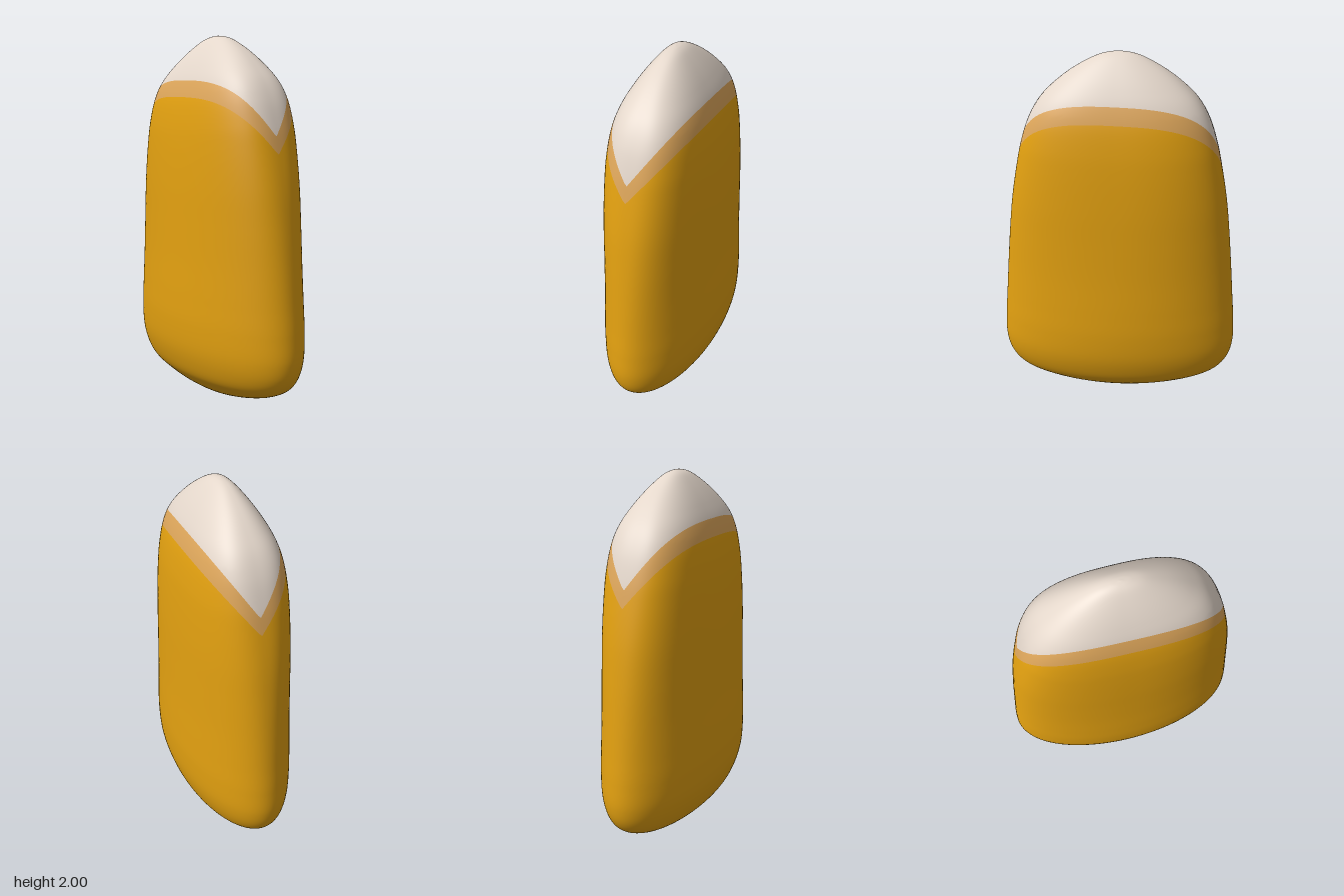
import * as THREE from 'three';

// Half-width in x, height, half-width in z, from base to tip
const profile = new THREE.CatmullRomCurve3([
  [0, 0, 0], [0.05, 0.007, 0.13], [0.13, 0.045, 0.33], [0.2, 0.1, 0.51], [0.25, 0.155, 0.605],
  [0.278, 0.22, 0.65], [0.3, 0.31, 0.671], [0.31, 0.45, 0.668], [0.307, 0.6, 0.655],
  [0.298, 0.8, 0.637], [0.291, 1, 0.617], [0.284, 1.2, 0.592], [0.272, 1.4, 0.555],
  [0.26, 1.52, 0.527], [0.237, 1.65, 0.482], [0.205, 1.75, 0.423], [0.165, 1.83, 0.345],
  [0.112, 1.91, 0.24], [0.055, 1.975, 0.12], [0.025, 1.994, 0.055], [0, 2, 0],
].map(p => new THREE.Vector3(...p)));

const AROUND = 120;

// Sections are ellipses at the base and grow squarer toward the shoulders
function squareness(y) {
  const rise = THREE.MathUtils.clamp((y - 0.4) / 1.3, 0, 1);
  const fall = THREE.MathUtils.smoothstep(y, 1.7, 2);
  return 2 + 0.8 * rise * rise - 0.5 * fall;
}

function surface(t, angle) {
  const p = profile.getPoint(THREE.MathUtils.clamp(t, 0, 1));
  const c = Math.cos(angle), s = Math.sin(angle), n = squareness(p.y);
  const r = Math.pow(Math.abs(c) ** n + Math.abs(s) ** n, -1 / n);
  return new THREE.Vector3(p.x * c * r, p.y, p.z * s * r);
}

function surfaceNormal(t, angle) {
  if (t < 1e-4) return new THREE.Vector3(0, -1, 0);
  if (t > 1 - 1e-4) return new THREE.Vector3(0, 1, 0);
  const e = 0.0008;
  const up = surface(t + e, angle).sub(surface(t - e, angle));
  const around = surface(t, angle + e).sub(surface(t, angle - e));
  return up.cross(around).normalize();
}

// Where the surface meets a V-shaped colour border: y = base + slope * |x|
function border(base, slope) {
  return angle => {
    let low = 0, high = 1;
    for (let i = 0; i < 32; i++) {
      const mid = (low + high) / 2, p = surface(mid, angle);
      if (p.y < base + slope * Math.abs(p.x + 0.03 * p.z)) low = mid;
      else high = mid;
    }
    return (low + high) / 2;
  };
}

// Skin between two borders, each giving the profile position for an angle
function skin(name, from, to, rows, material) {
  const positions = [], normals = [], index = [];
  for (let i = 0; i <= AROUND; i++) {
    const angle = i / AROUND * Math.PI * 2;
    const start = from(angle), end = to(angle);
    for (let j = 0; j <= rows; j++) {
      const t = start + (end - start) * j / rows;
      positions.push(...surface(t, angle).toArray());
      normals.push(...surfaceNormal(t, angle).toArray());
      if (i < AROUND && j < rows) {
        const a = i * (rows + 1) + j, b = a + rows + 1;
        index.push(a, a + 1, b, b, a + 1, b + 1);
      }
    }
  }
  const geometry = new THREE.BufferGeometry();
  geometry.setAttribute('position', new THREE.Float32BufferAttribute(positions, 3));
  geometry.setAttribute('normal', new THREE.Float32BufferAttribute(normals, 3));
  geometry.setIndex(index);
  const mesh = new THREE.Mesh(geometry, material);
  mesh.name = name;
  return mesh;
}

function colour(name, hex) {
  const material = new THREE.MeshStandardMaterial({ color: hex });
  material.name = name;
  return material;
}

export function createModel() {
  const group = new THREE.Group();
  group.name = 'roundedBlock';
  const bandBottom = border(1.38, 1.24), bandTop = border(1.47, 1.42);
  group.add(
    skin('body', () => 0, bandBottom, 70, colour('amber', 0xe2a010)),
    skin('band', bandBottom, bandTop, 6, colour('tan', 0xdca55a)),
    skin('cap', bandTop, () => 1, 36, colour('cream', 0xe4d7cb)),
  );
  return group;
}
